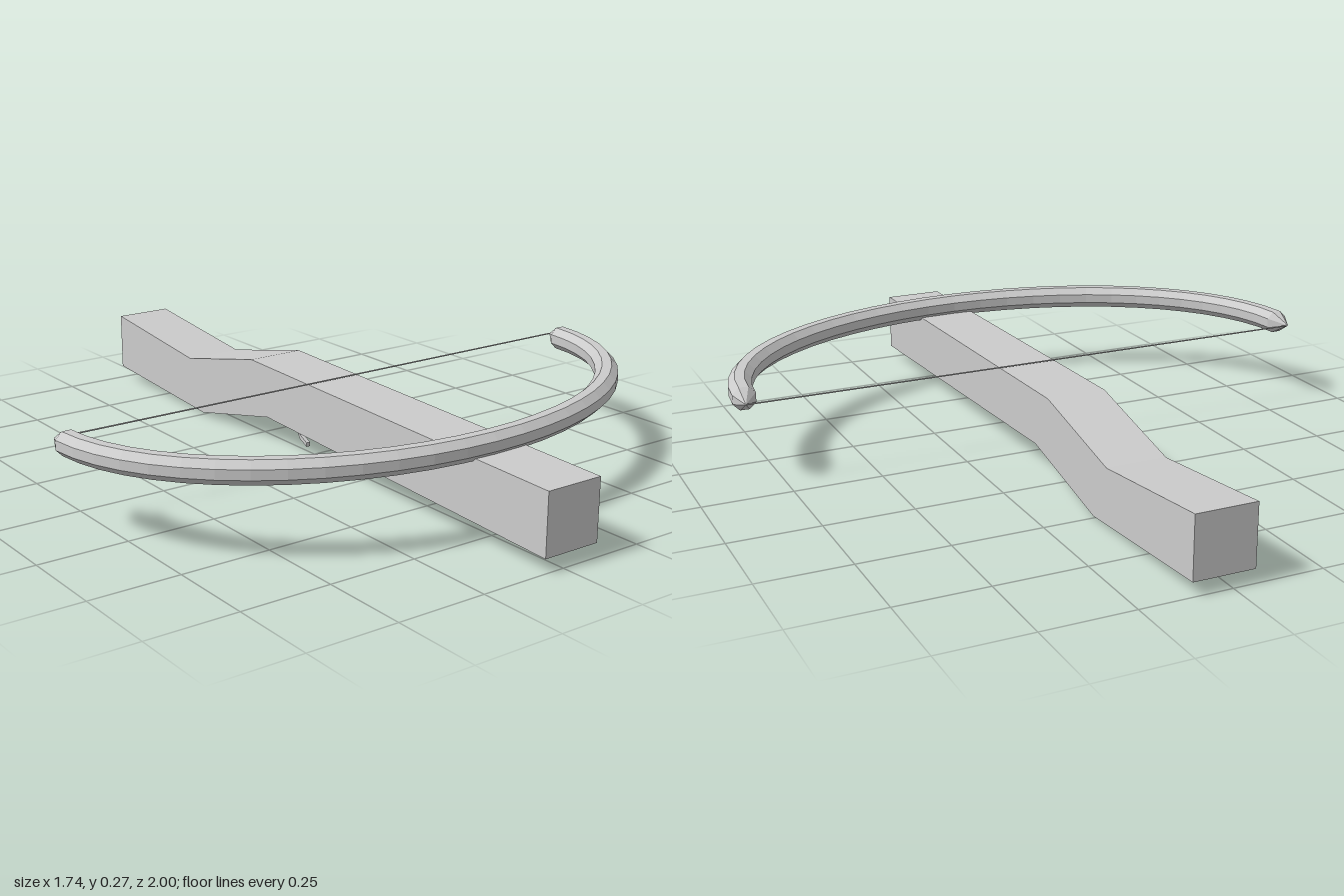
import * as THREE from 'three';

const STOCK_X = 0.025; // the stock sits slightly off centre

function material() {
  return new THREE.MeshStandardMaterial({ color: 0xcccccc, flatShading: true, side: THREE.DoubleSide });
}

// Extrudes a side profile of [z, y] points across x, centred on STOCK_X
function sideExtrude(name, points, width) {
  const shape = new THREE.Shape(points.map(([z, y]) => new THREE.Vector2(-z, y)));
  const geometry = new THREE.ExtrudeGeometry(shape, { depth: width, bevelEnabled: false });
  geometry.rotateY(Math.PI / 2).translate(STOCK_X - width / 2, 0, 0);
  const mesh = new THREE.Mesh(geometry, material());
  mesh.name = name;
  return mesh;
}

// Octagonal tube swept along a half ellipse, closed to a point at both ends
function bowGeometry() {
  const sides = 8, segments = 28, radius = 0.0346;
  const rings = [{ x: 0.847, z: 0.067, nx: 1, nz: 0, r: 0 }];
  for (let i = 0; i <= segments; i++) {
    const a = 0.03 + (Math.PI - 0.06) * i / segments;
    const n = new THREE.Vector2(Math.cos(a) / 0.838, Math.sin(a) / 0.628).normalize();
    rings.push({ x: 0.838 * Math.cos(a), z: 0.1 + 0.628 * Math.sin(a), nx: n.x, nz: n.y, r: radius });
  }
  rings.push({ x: -0.847, z: 0.067, nx: -1, nz: 0, r: 0 });

  const positions = [], index = [];
  rings.forEach(({ x, z, nx, nz, r }, i) => {
    for (let j = 0; j < sides; j++) {
      const t = (j + 0.5) / sides * Math.PI * 2;
      const out = r * Math.cos(t);
      positions.push(x + nx * out, 0.24 + r * Math.sin(t), z + nz * out);
      if (i === 0) continue;
      const k = (j + 1) % sides;
      const a = (i - 1) * sides + j, b = (i - 1) * sides + k;
      const c = i * sides + k, d = i * sides + j;
      if (i > 1) index.push(a, b, d);
      if (i < rings.length - 1) index.push(b, c, d);
      if (i === 1) continue;
    }
  });
  const geometry = new THREE.BufferGeometry();
  geometry.setAttribute('position', new THREE.Float32BufferAttribute(positions, 3));
  geometry.setIndex(index);
  geometry.computeVertexNormals();
  return geometry;
}

export function createModel() {
  const model = new THREE.Group();
  model.name = 'crossbow';

  // Stock with a dropped butt
  model.add(sideExtrude('stock', [
    [1, 0.04], [1, 0.21], [-0.23, 0.24], [-0.57, 0.165],
    [-1, 0.21], [-1, 0.04], [-0.5, 0.008], [-0.15, 0.085],
  ], 0.17));

  // Small curved trigger under the stock
  model.add(sideExtrude('trigger', [
    [-0.095, 0.09], [-0.105, 0.06], [-0.097, 0.03], [-0.065, 0.014],
    [-0.065, 0.002], [-0.1, 0.018], [-0.119, 0.058], [-0.11, 0.09],
  ], 0.012));

  // Curved bow limbs
  const bow = new THREE.Mesh(bowGeometry(), material());
  bow.name = 'bow';
  model.add(bow);

  // String between the tips
  const string = new THREE.Mesh(new THREE.CylinderGeometry(0.002, 0.002, 1.69, 6), material());
  string.name = 'string';
  string.rotation.z = Math.PI / 2;
  string.position.set(0, 0.24, 0.068);
  model.add(string);

  return model;
}
